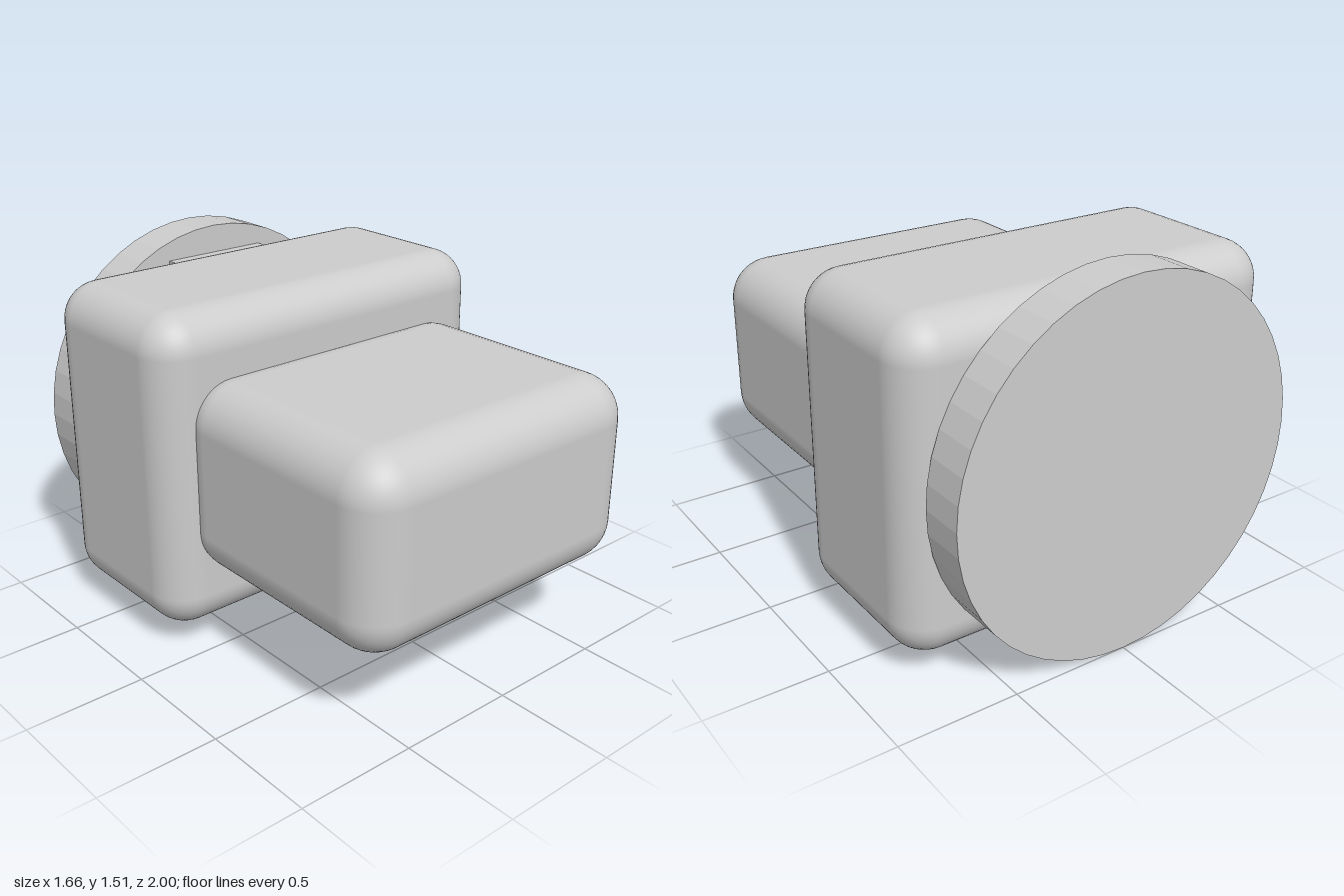
import * as THREE from 'three';
import { RoundedBoxGeometry } from 'three/addons/geometries/RoundedBoxGeometry.js';

const grey = new THREE.MeshStandardMaterial({ color: 0xcccccc });
grey.name = 'light grey';

export function createModel() {
  const model = new THREE.Group();
  model.name = 'model';

  const add = (name, geometry, x, y, z) => {
    const mesh = new THREE.Mesh(geometry, grey);
    mesh.name = name;
    mesh.position.set(x, y, z);
    model.add(mesh);
  };

  // Main housing block
  add('body', new RoundedBoxGeometry(1.66, 1.33, 0.81, 6, 0.16), 0, 0.755, -0.405);

  // Smaller block at the front, its back end sunk into the body
  add('frontBlock', new RoundedBoxGeometry(1.39, 0.795, 1.13, 6, 0.18), 0, 0.7575, 0.435);

  // Faceted round plate at the back
  const disc = new THREE.CylinderGeometry(0.755, 0.755, 0.19, 48).rotateX(Math.PI / 2).toNonIndexed();
  disc.computeVertexNormals();
  add('backDisc', disc, 0, 0.755, -0.905);

  // Tab joining the disc to the upper rear of the body
  add('connectorTab', new THREE.BoxGeometry(0.48, 0.49, 0.25), 0, 1.145, -0.725);

  return model;
}
